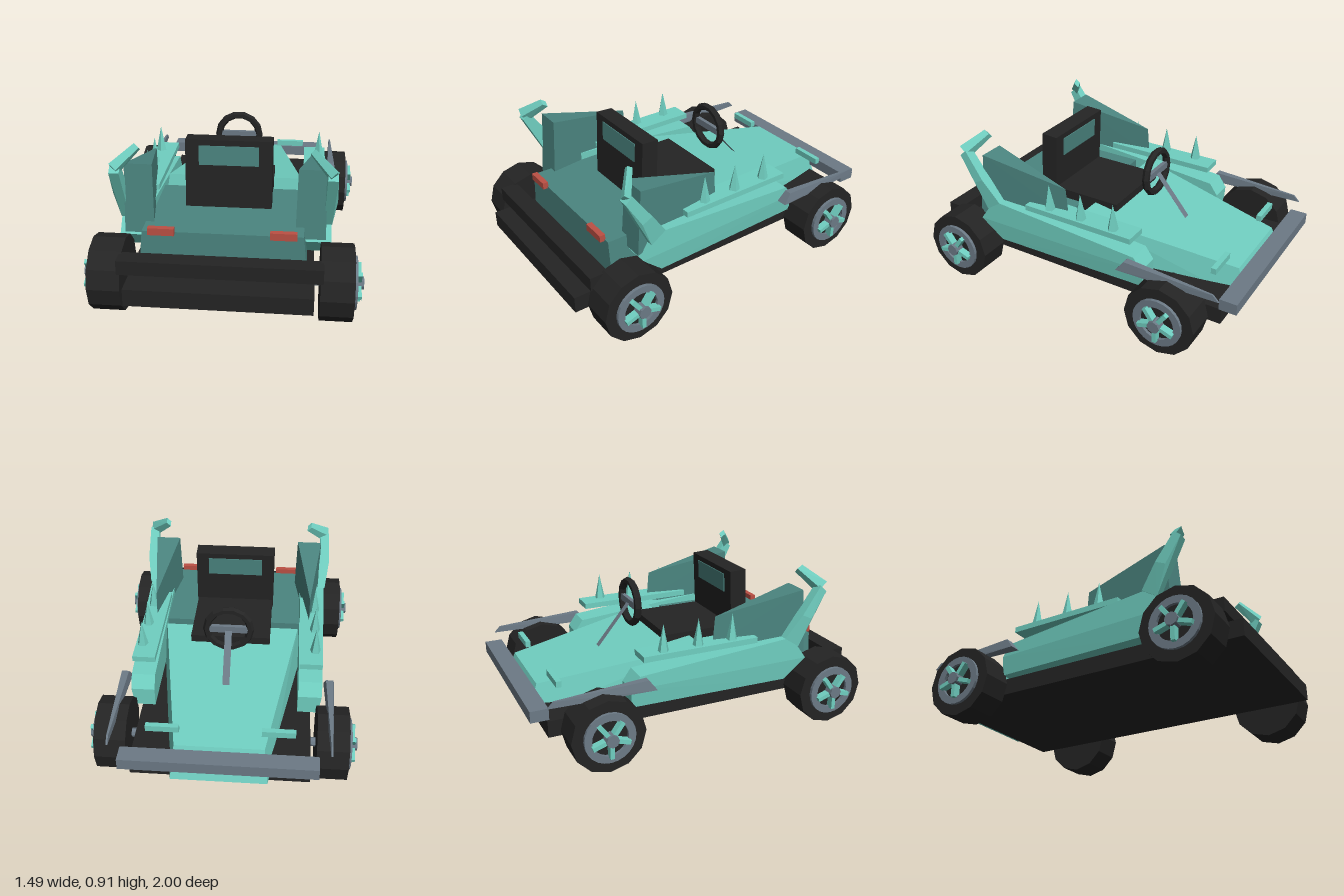
import * as THREE from 'three';
import { ConvexGeometry } from 'three/addons/geometries/ConvexGeometry.js';

const mat = (name, color) => {
  const m = new THREE.MeshStandardMaterial({ color, flatShading: true });
  m.name = name;
  return m;
};

export function createModel() {
  const model = new THREE.Group();
  model.name = 'openBuggy';
  const teal = mat('bright teal', 0x70cfc1);
  const darkTeal = mat('dark teal', 0x4b8580);
  const black = mat('black', 0x242424);
  const grey = mat('steel grey', 0x6c7a86);
  const red = mat('lamp red', 0xbc5044);

  const add = (name, geometry, material, parent = model) => {
    const mesh = new THREE.Mesh(geometry, material);
    mesh.name = name;
    parent.add(mesh);
    return mesh;
  };
  // Box given by its limits on each axis
  const box = (name, material, [x0, x1], [y0, y1], [z0, z1], parent) => {
    const g = new THREE.BoxGeometry(x1 - x0, y1 - y0, z1 - z0);
    g.translate((x0 + x1) / 2, (y0 + y1) / 2, (z0 + z1) / 2);
    return add(name, g, material, parent);
  };
  // Convex solid given by its corners
  const hull = (name, material, corners, parent) =>
    add(name, new ConvexGeometry(corners.map((c) => new THREE.Vector3(...c))), material, parent);
  // Corners mirrored across x = 0
  const both = (corners) => corners.flatMap(([x, y, z]) => [[x, y, z], [-x, y, z]]);
  // Small square around a point, used as the end of a bar
  const square = ([x, y, z], u, v) =>
    [[1, 1], [1, -1], [-1, -1], [-1, 1]].map(([a, b]) => [
      x + a * u[0] + b * v[0], y + a * u[1] + b * v[1], z + a * u[2] + b * v[2]]);

  // Chassis and rear bumper
  box('chassis', black, [-0.485, 0.485], [0.16, 0.255], [-0.9, 1]);
  box('rearBumper', black, [-0.53, 0.53], [0.295, 0.375], [0.825, 0.925]);
  box('frontBumper', grey, [-0.525, 0.525], [0.285, 0.35], [-1, -0.9]);

  // Tapered hood with a sloping nose
  hull('hood', teal, both([
    [0.24, 0.365, -0.885], [0.26, 0.18, -0.95], [0.26, 0.18, -0.9],
    [0.4, 0.495, 0.04], [0.43, 0.25, 0.08],
  ]));

  // Rear deck and tail lamps
  hull('rearDeck', darkTeal, both([
    [0.425, 0.465, 0.14], [0.425, 0.465, 0.75], [0.425, 0.295, 0.75],
    [0.445, 0.265, 0.75], [0.445, 0.265, 0.14],
  ]));

  // Seat
  box('seatCushion', black, [-0.235, 0.235], [0.42, 0.52], [-0.105, 0.33]);
  const seatBack = new THREE.Group();
  seatBack.name = 'seatBack';
  seatBack.position.set(0, 0.46, 0.37);
  seatBack.rotation.x = -0.05;
  model.add(seatBack);
  box('backrest', black, [-0.24, 0.24], [-0.03, 0.392], [-0.05, 0.05], seatBack);
  box('backrestPanel', darkTeal, [-0.165, 0.165], [0.25, 0.36], [-0.055, 0.055], seatBack);

  // Steering wheel, crossbar and column
  const rim = add('steeringWheel', new THREE.TorusGeometry(0.125, 0.022, 6, 14), black);
  rim.position.set(0, 0.67, -0.235);
  box('steeringCrossbar', grey, [-0.11, 0.11], [0.65, 0.69], [-0.248, -0.225]);
  hull('steeringColumn', grey, [
    ...square([0, 0.66, -0.25], [0.02, 0, 0], [0, 0.022, 0.018]),
    ...square([0, 0.42, -0.45], [0.02, 0, 0], [0, 0.022, 0.018]),
  ]);

  for (const [label, s] of [['left', 1], ['right', -1]]) {
    const at = (corners) => corners.map(([x, y, z]) => [s * x, y, z]);
    const span = (a, b) => (s > 0 ? [a, b] : [-b, -a]);

    // Side pod: one profile with the outer wall flaring towards the rear
    const profile = [[0.53, 0.52], [0.63, 0.38], [0.5, 0.26], [-0.45, 0.26], [-0.45, 0.37], [-0.4, 0.44]];
    hull(label + 'SidePod', teal, at(profile.flatMap(([z, y]) => [
      [0.41, y, z], [0.555 + 0.025 * z - (y < 0.3 ? 0.015 : 0), y, z]])));

    // Ledge with spikes
    box(label + 'Ledge', teal, span(0.41, 0.54), [0.512, 0.545], [-0.375, 0.32]);
    for (const z of [0.175, -0.035, -0.245]) {
      const spike = add(label + 'Spike', new THREE.ConeGeometry(0.033, 0.16, 5), teal);
      spike.position.set(s * 0.5, 0.62, z);
    }

    // Wedge fin, thin in front and wide behind
    hull(label + 'Fin', darkTeal, at([
      [0.465, 0.68, 0.085], [0.465, 0.5, 0.07],
      [0.385, 0.785, 0.61], [0.535, 0.785, 0.61],
      [0.378, 0.4, 0.64], [0.54, 0.4, 0.64],
    ]));

    // Bent horn: a rising stem and a hook turning inwards
    hull(label + 'HornStem', teal, at([
      ...square([0.55, 0.49, 0.53], [0.022, 0, 0], [0, -0.03, 0.045]),
      ...square([0.575, 0.64, 0.61], [0.018, 0, 0], [0, -0.015, 0.03]),
      ...square([0.56, 0.795, 0.712], [0.027, 0, 0], [0, 0.018, -0.02]),
    ]));
    hull(label + 'HornHook', teal, at([
      ...square([0.565, 0.795, 0.715], [0.017, 0.018, 0], [0, 0.018, 0.02]),
      ...square([0.455, 0.89, 0.625], [0.012, 0.012, 0], [0, 0.01, 0.015]),
    ]));

    // Front fender blade, tapering forwards
    hull(label + 'FenderBlade', grey, at([
      [0.555, 0.38, -0.33], [0.617, 0.38, -0.33], [0.565, 0.44, -0.375], [0.607, 0.44, -0.375],
      [0.582, 0.38, -0.925], [0.592, 0.38, -0.925], [0.582, 0.415, -0.89], [0.592, 0.415, -0.89],
    ]));

    // Hood marker bar and tail lamp
    box(label + 'HoodMarker', teal, span(0.22, 0.4), [0.395, 0.43], [-0.82, -0.79]);
    box(label + 'TailLamp', red, span(0.25, 0.39), [0.455, 0.495], [0.745, 0.778]);
  }

  // Axles and wheels
  const ring = new THREE.Shape().absarc(0, 0, 0.142, 0, Math.PI * 2);
  ring.holes.push(new THREE.Path().absarc(0, 0, 0.1, 0, Math.PI * 2, true));
  const ringGeometry = new THREE.ExtrudeGeometry(ring, { depth: 0.03, bevelEnabled: false, curveSegments: 12 });
  ringGeometry.rotateY(Math.PI / 2);
  const disc = (radius, width, sides) => new THREE.CylinderGeometry(radius, radius, width, sides).rotateZ(Math.PI / 2);

  for (const [end, z] of [['rear', 0.735], ['front', -0.635]]) {
    const axle = add(end + 'Axle', disc(0.026, 1.42, 8), grey);
    axle.position.set(0, 0.206, z);
    for (const s of [1, -1]) {
      const wheel = new THREE.Group();
      wheel.name = end + (s > 0 ? 'Left' : 'Right') + 'Wheel';
      wheel.position.set(0, 0.206, z);
      if (s < 0) wheel.rotation.y = Math.PI;
      model.add(wheel);
      add('tyre', disc(0.206, 0.175, 12), black, wheel).position.x = 0.603;
      add('wheelRing', ringGeometry, grey, wheel).position.x = 0.678;
      add('hub', disc(0.036, 0.06, 8), grey, wheel).position.x = 0.716;
      for (let i = 0; i < 5; i++) {
        const spoke = box('spoke', teal, [0.688, 0.732], [-0.108, -0.025], [-0.012, 0.012], wheel);
        spoke.rotation.x = (i * Math.PI * 2) / 5;
      }
    }
  }
  return model;
}
